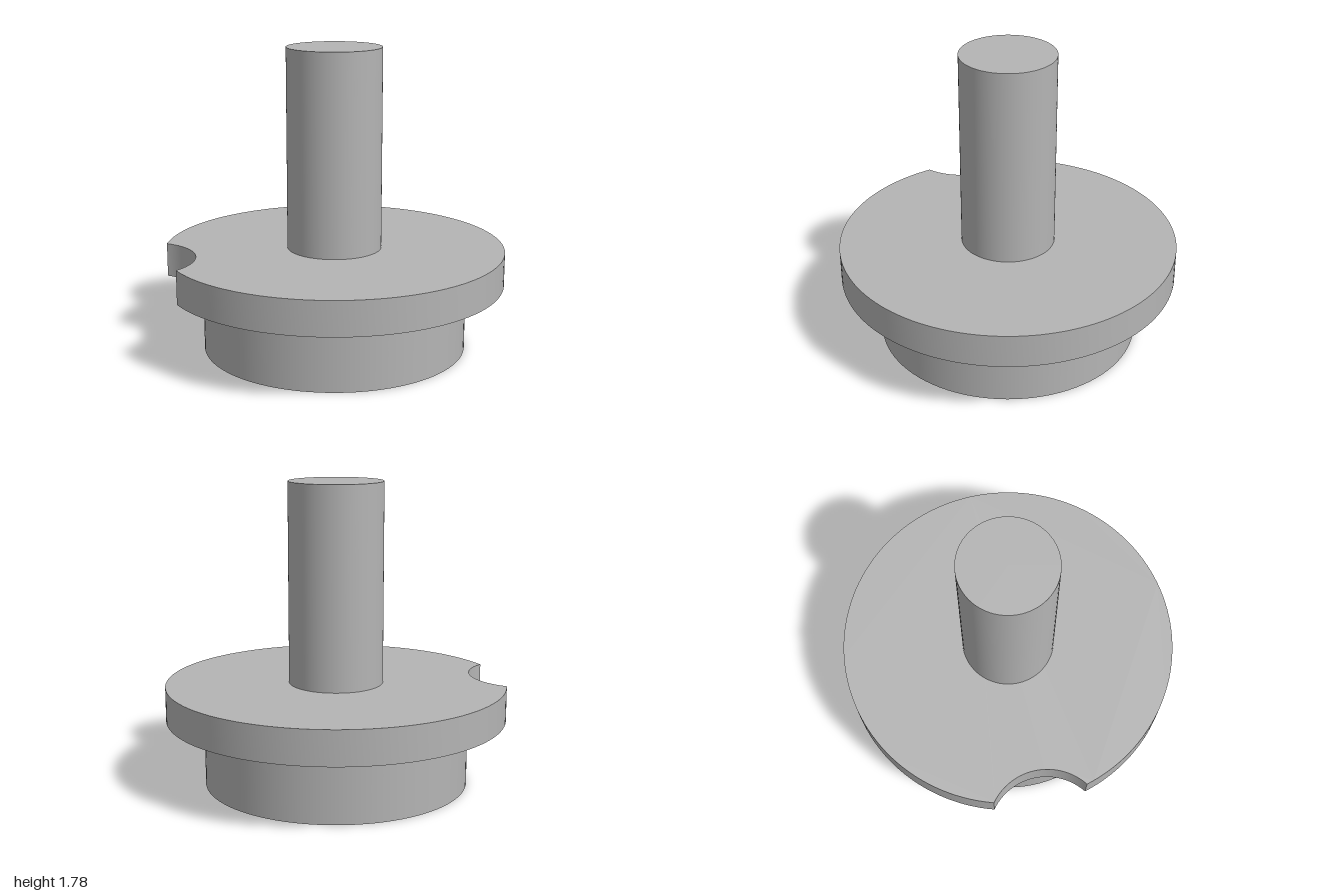
import * as THREE from 'three';
import { toCreasedNormals } from 'three/addons/utils/BufferGeometryUtils.js';

export function createModel() {
  const group = new THREE.Group();
  const grey = new THREE.MeshStandardMaterial({ color: 0xb4b4b4 });
  grey.name = 'grey';

  const add = (name, geometry) => {
    const mesh = new THREE.Mesh(geometry, grey);
    mesh.name = name;
    group.add(mesh);
  };

  // Upright cylinder between two heights
  const cylinder = (radius, bottom, top) =>
    new THREE.CylinderGeometry(radius, radius, top - bottom, 96).translate(0, (bottom + top) / 2, 0);

  add('base', cylinder(0.777, 0, 0.4));
  add('shaft', cylinder(0.277, 0.6, 1.78));

  // Flange: unit disc with a round notch bitten out of its front right rim
  const cx = -0.705, cy = -0.93, r = 0.345;
  const d = Math.hypot(cx, cy);
  const middle = Math.atan2(cy, cx);
  const half = Math.acos((1 + d * d - r * r) / (2 * d));
  const start = middle + half, end = middle - half + Math.PI * 2;
  const notchAngle = (a) => Math.atan2(Math.sin(a) - cy, Math.cos(a) - cx);

  const outline = new THREE.Shape();
  outline.absarc(0, 0, 1, start, end, false);
  outline.absarc(cx, cy, r, notchAngle(end), notchAngle(start), true);
  const flange = new THREE.ExtrudeGeometry(outline, { depth: 0.2, bevelEnabled: false, curveSegments: 64 });
  flange.rotateX(-Math.PI / 2).translate(0, 0.4, 0);
  add('flange', toCreasedNormals(flange, Math.PI / 6));

  return group;
}
